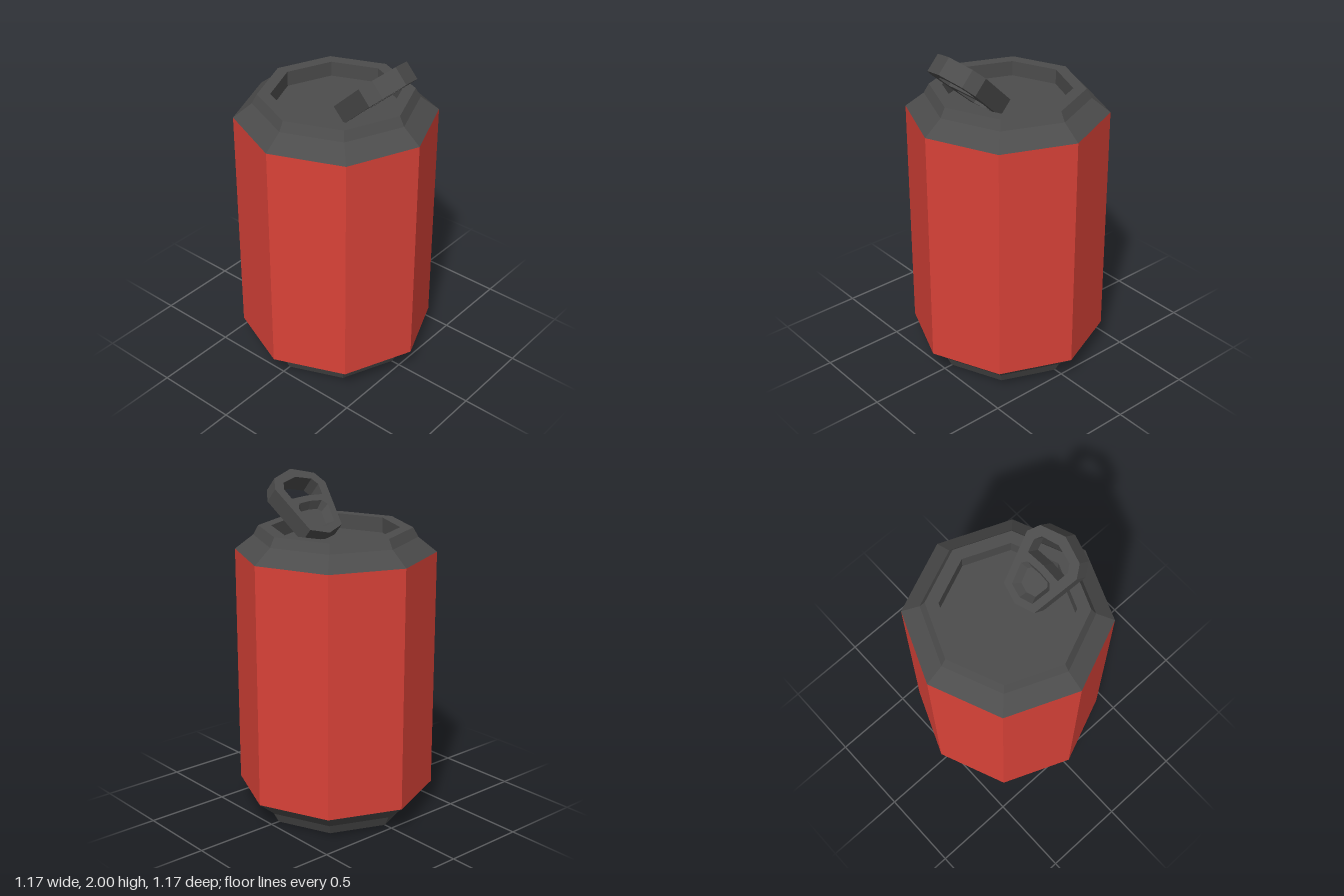
import * as THREE from 'three';

const RED = new THREE.MeshStandardMaterial({ color: 0xd94238, flatShading: true });
const DARK = new THREE.MeshStandardMaterial({ color: 0x4c4c4c, flatShading: true });

function addMesh(parent, name, geometry, material) {
  const flat = geometry.index ? geometry.toNonIndexed() : geometry;
  flat.computeVertexNormals();
  const mesh = new THREE.Mesh(flat, material);
  mesh.name = name;
  parent.add(mesh);
}

// Eight-sided ring surface from [radius, height] pairs, listed bottom to top
const octagon = (profile) =>
  new THREE.LatheGeometry(profile.map(([r, y]) => new THREE.Vector2(r, y)), 8);

// Closed outline symmetric about the long axis, from its half on the +v side.
// The first and last points lie on the axis.
function mirrored(half) {
  const back = half.slice(1, -1).reverse().map(([u, v]) => [u, -v]);
  return [...back.reverse().map(([u, v]) => [u, v]).reverse(), ...half]
    .map(([u, v]) => new THREE.Vector2(u, v))
    .sort((a, b) => 0) && [
      ...half.map(([u, v]) => new THREE.Vector2(u, -v)),
      ...half.slice(1, -1).reverse().map(([u, v]) => new THREE.Vector2(u, v)),
    ];
}

// Tapered dish sunk into the tab: sloping walls and a flat floor
function dish(rim, centre, scale, depth) {
  const pos = [];
  const top = (p) => [p.x, p.y, 0];
  const low = (p) => [centre + (p.x - centre) * scale, p.y * scale, depth];
  rim.forEach((p, i) => {
    const q = rim[(i + 1) % rim.length];
    pos.push(...low(p), ...low(q), ...top(q));
    pos.push(...low(p), ...top(q), ...top(p));
    pos.push(centre, 0, depth, ...low(q), ...low(p));
  });
  return new THREE.BufferGeometry()
    .setAttribute('position', new THREE.Float32BufferAttribute(pos, 3));
}

export function createModel() {
  const can = new THREE.Group();
  can.name = 'can';

  // Body and the two recessed ends
  addMesh(can, 'body', octagon([[0.583, 0.15], [0.583, 1.58]]), RED);
  addMesh(can, 'base', octagon([
    [0, 0.09], [0.37, 0.09], [0.37, 0], [0.445, 0], [0.475, 0.06], [0.583, 0.15],
  ]), DARK);
  addMesh(can, 'lid', octagon([
    [0.583, 1.58], [0.475, 1.665], [0.445, 1.72], [0.37, 1.72], [0.37, 1.63], [0, 1.63],
  ]), DARK);

  // Pull tab: u runs up its length, v across, w down through its thickness
  const outline = mirrored([[0, 0], [0.041, 0.12], [0.353, 0.19], [0.43, 0.15], [0.482, 0]]);
  const fingerHole = mirrored([[0.278, 0], [0.271, 0.115], [0.346, 0.13], [0.39, 0.105], [0.42, 0]]);
  const dishRim = mirrored([[0.047, 0], [0.072, 0.08], [0.197, 0.11], [0.23, 0.085], [0.237, 0]]);

  const shape = new THREE.Shape(outline);
  shape.holes.push(new THREE.Path(fingerHole), new THREE.Path(dishRim));

  const tab = new THREE.Group();
  tab.name = 'pullTab';
  addMesh(tab, 'tabPlate',
    new THREE.ExtrudeGeometry(shape, { depth: 0.11, bevelEnabled: false }), DARK);
  addMesh(tab, 'tabDish', dish(dishRim, 0.142, 0.7, 0.045), DARK);

  const tilt = THREE.MathUtils.degToRad(42.5);
  const c = Math.cos(tilt), s = Math.sin(tilt);
  tab.quaternion.setFromRotationMatrix(new THREE.Matrix4().makeBasis(
    new THREE.Vector3(c, s, 0), new THREE.Vector3(0, 0, 1), new THREE.Vector3(s, -c, 0)));
  tab.position.set(0.05, 1.674, 0);
  can.add(tab);

  return can;
}
